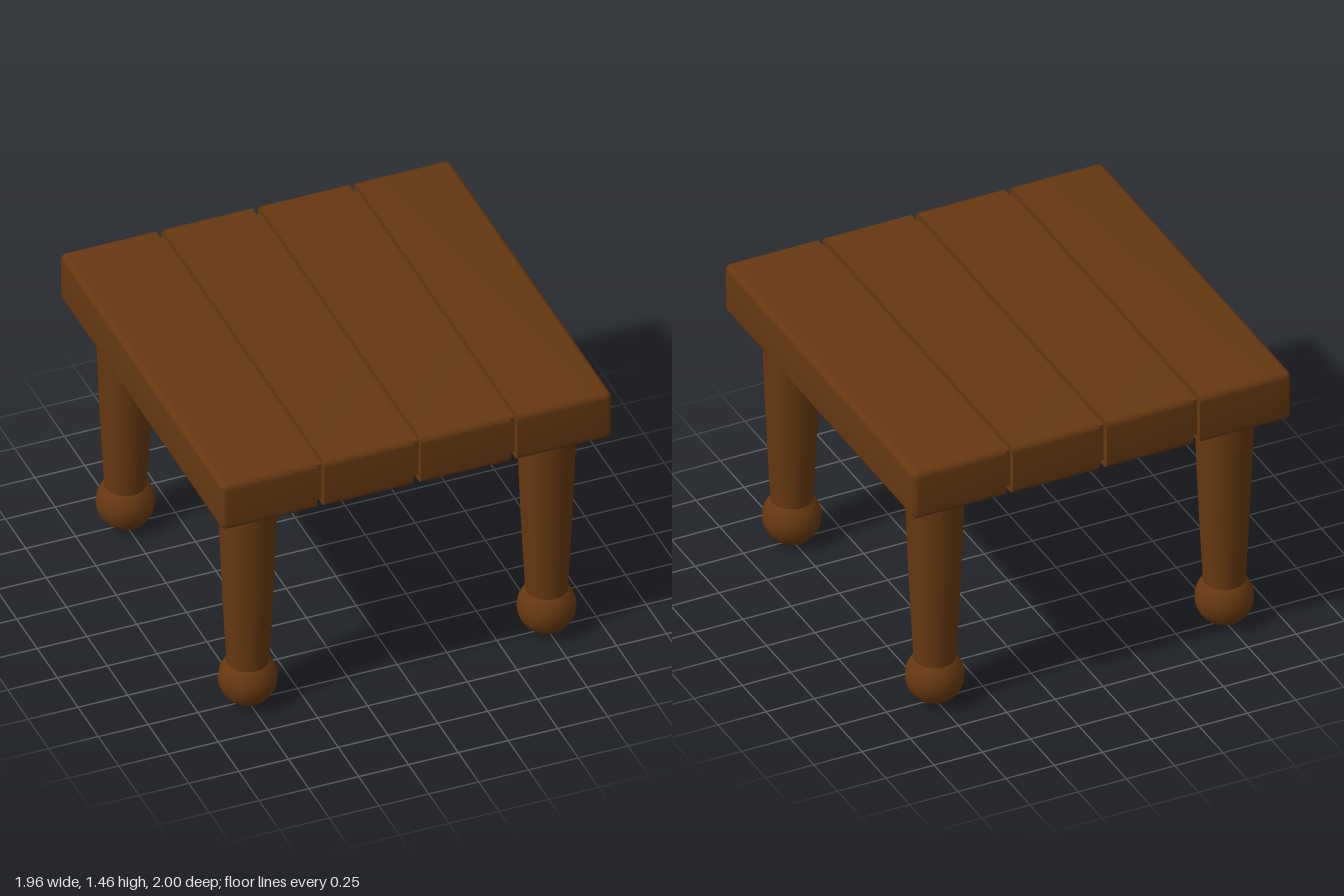
import * as THREE from 'three';
import { toCreasedNormals } from 'three/addons/utils/BufferGeometryUtils.js';
import { RoundedBoxGeometry } from 'three/addons/geometries/RoundedBoxGeometry.js';

const BOTTOM = 1.2, TOP = 1.46, EDGE = 0.03;
const wood = new THREE.MeshStandardMaterial({ color: 0x663810 });

// Plank from x0 to x1: outer edges stay rounded, cut edges are clamped flat
function plankGeometry(x0, x1, cutLeft, cutRight) {
  const a = cutLeft ? x0 - EDGE : x0;
  const b = cutRight ? x1 + EDGE : x1;
  const geometry = new RoundedBoxGeometry(b - a, TOP - BOTTOM, 2, 4, EDGE);
  geometry.translate((a + b) / 2, (TOP + BOTTOM) / 2, 0);
  const p = geometry.attributes.position;
  for (let i = 0; i < p.count; i++) p.setX(i, THREE.MathUtils.clamp(p.getX(i), x0, x1));
  return toCreasedNormals(geometry, Math.PI / 5);
}

function createLeg() {
  const leg = new THREE.Group();
  leg.name = 'leg';

  // Tapered, slightly bowed post
  const profile = [[0.1, 0.2], [0.101, 0.26], [0.114, 0.5], [0.127, 0.8], [0.136, 1.05], [0.14, 1.21]];
  const post = new THREE.Mesh(
    new THREE.LatheGeometry(profile.map(([r, y]) => new THREE.Vector2(r, y)), 24), wood);
  post.name = 'legPost';

  // Ball foot
  const foot = new THREE.Mesh(new THREE.SphereGeometry(0.14, 20, 14), wood);
  foot.name = 'ballFoot';
  foot.position.y = 0.14;

  leg.add(post, foot);
  return leg;
}

export function createModel() {
  const table = new THREE.Group();
  table.name = 'plankTable';

  // Four planks separated by narrow grooves
  const spans = [[-0.98, -0.502], [-0.467, -0.018], [0.018, 0.467], [0.502, 0.98]];
  spans.forEach(([x0, x1], i) => {
    const plank = new THREE.Mesh(plankGeometry(x0, x1, i > 0, i < 3), wood);
    plank.name = `plank${i + 1}`;
    table.add(plank);
  });

  // Recessed strips joining neighbouring planks
  for (let i = 0; i < 3; i++) {
    const x0 = spans[i][1], x1 = spans[i + 1][0];
    const strip = new THREE.Mesh(new THREE.BoxGeometry(x1 - x0, 0.195, 1.93), wood);
    strip.name = `joiningStrip${i + 1}`;
    strip.position.set((x0 + x1) / 2, (TOP + BOTTOM) / 2, 0);
    table.add(strip);
  }

  // Four legs
  for (const x of [-0.75, 0.75]) {
    for (const z of [-0.75, 0.75]) {
      const leg = createLeg();
      leg.position.set(x, 0, z);
      table.add(leg);
    }
  }
  return table;
}
